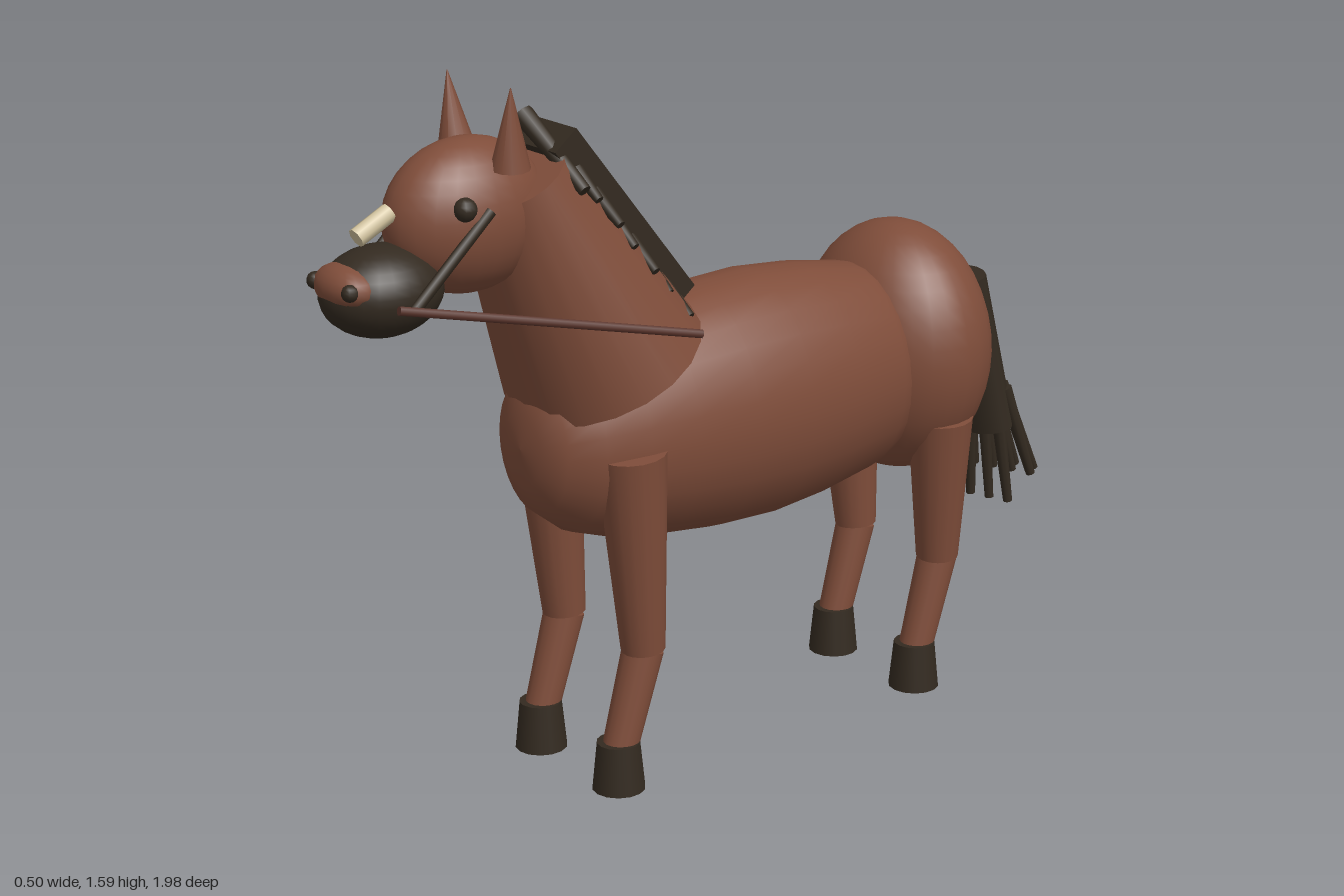
import * as THREE from 'three';

const mat = (name, color) => Object.assign(new THREE.MeshStandardMaterial({ color }), { name });
const V = (x, y, z) => new THREE.Vector3(x, y, z);

export function createModel() {
  const horse = new THREE.Group();
  horse.name = 'horse';
  const coat = mat('chestnut coat', 0x7f4d3a);
  const dark = mat('dark hair and hooves', 0x332a20);
  const leather = mat('leather', 0x5a342b);
  const cream = mat('cream blaze', 0xd0c19c);

  const add = (name, geometry, material) => {
    const mesh = new THREE.Mesh(geometry, material);
    mesh.name = name;
    horse.add(mesh);
    return mesh;
  };
  const ball = (name, material, pos, radii, seg = 24) => {
    const mesh = add(name, new THREE.SphereGeometry(1, seg, Math.round(seg * 0.7)), material);
    mesh.position.set(...pos);
    mesh.scale.set(...radii);
    return mesh;
  };
  // Tapered rod running from a (radius ra) to b (radius rb)
  const rod = (name, material, a, b, ra, rb = ra, seg = 8) => {
    const dir = b.clone().sub(a);
    const mesh = add(name, new THREE.CylinderGeometry(rb, ra, dir.length(), seg), material);
    mesh.position.copy(a).add(b).multiplyScalar(0.5);
    mesh.quaternion.setFromUnitVectors(V(0, 1, 0), dir.normalize());
    return mesh;
  };

  // Barrel: lathe profile [radius, z] laid along z
  const profile = [[0, -0.6], [0.2, -0.52], [0.247, -0.4], [0.272, -0.25], [0.285, -0.1], [0.28, 0.05],
    [0.262, 0.2], [0.24, 0.32], [0.205, 0.42], [0.15, 0.49], [0.08, 0.52], [0, 0.525]];
  const barrel = add('barrel', new THREE.LatheGeometry(
    profile.map(([r, z]) => new THREE.Vector2(r, z)), 28), coat);
  barrel.rotation.x = Math.PI / 2;
  barrel.scale.x = 0.82;
  barrel.position.y = 0.775;
  ball('rump', coat, [0, 0.8, -0.55], [0.25, 0.295, 0.2], 28);

  // Neck and head
  const neck = rod('neck', coat, V(0, 0.935, 0.305), V(0, 1.375, 0.54), 0.22, 0.12, 20);
  neck.scale.x = 1.1;
  ball('head', coat, [0, 1.312, 0.65], [0.125, 0.163, 0.19]);
  ball('muzzle', dark, [0, 1.19, 0.86], [0.11, 0.095, 0.135]);
  ball('nose', coat, [0, 1.213, 0.945], [0.085, 0.048, 0.053], 16);
  rod('blaze', cream, V(0, 1.347, 0.835), V(0, 1.307, 0.915), 0.021);

  for (const s of [-1, 1]) {
    ball('nostril', dark, [s * 0.063, 1.218, 0.975], [0.018, 0.018, 0.018], 10);
    ball('eye', dark, [s * 0.107, 1.355, 0.725], [0.025, 0.025, 0.025], 12);
    rod('ear', coat, V(s * 0.093, 1.418, 0.602), V(s * 0.11, 1.587, 0.61), 0.042, 0.001, 12);
    // Bridle and reins
    rod('cheekStrap', dark, V(s * 0.118, 1.345, 0.67), V(s * 0.115, 1.17, 0.86), 0.012);
    rod('rein', leather, V(s * 0.122, 1.182, 0.9), V(s * 0.24, 1.03, 0.225), 0.01);
  }

  // Legs: knee bends give each lower leg its own slant
  const legs = [
    ['front', V(0.15, 0.77, 0.345), V(0.142, 0.31, 0.31), 0.078, 0.38],
    ['hind', V(0.16, 0.66, -0.55), V(0.142, 0.31, -0.567), 0.075, -0.5],
  ];
  for (const [label, top, knee, r, hoofZ] of legs) {
    for (const s of [-1, 1]) {
      const side = (p) => V(s * p.x, p.y, p.z);
      rod(label + 'UpperLeg', coat, side(top), side(knee), r, 0.049, 16);
      rod(label + 'LowerLeg', coat, side(knee), V(s * 0.142, 0.08, hoofZ), 0.046, 0.039, 16);
      rod(label + 'Hoof', dark, V(s * 0.142, 0, hoofZ), V(s * 0.142, 0.11, hoofZ), 0.059, 0.048, 14);
    }
  }
  ball('hip', coat, [0.15, 0.64, -0.55], [0.07, 0.06, 0.07], 14);
  ball('hip', coat, [-0.15, 0.64, -0.55], [0.07, 0.06, 0.07], 14);

  // Mane slab, with tufts falling to the left
  const mane = add('mane', new THREE.BoxGeometry(0.17, 0.5, 0.07), dark);
  mane.position.set(0, 1.255, 0.3);
  mane.rotation.x = Math.atan2(0.31, 0.39);
  rod('forelock', dark, V(-0.03, 1.49, 0.48), V(0.14, 1.355, 0.45), 0.024, 0.014);
  for (let i = 0; i < 6; i++) {
    const t = i / 5;
    const y = 1.42 - 0.29 * t, z = 0.43 - 0.23 * t;
    rod('maneTuft', dark, V(0.03, y, z), V(0.142 + 0.012 * (i % 2), y - 0.09, z - 0.015), 0.02, 0.01);
  }

  // Tail with a fan of loose strands
  const tail = rod('tail', dark, V(0, 0.925, -0.765), V(0, 0.54, -0.85), 0.065, 0.083, 14);
  tail.scale.z = 0.7;
  for (let i = 0; i < 11; i++) {
    const u = i / 5 - 1;
    const k = (i * 4) % 11 / 10;
    rod('tailStrand', dark, V(u * 0.06, 0.64, -0.82 - 0.05 * k),
      V(u * 0.082, 0.39 - 0.04 * Math.cos(i * 2.1), -0.83 - 0.145 * k), 0.018, 0.011);
  }
  return horse;
}
